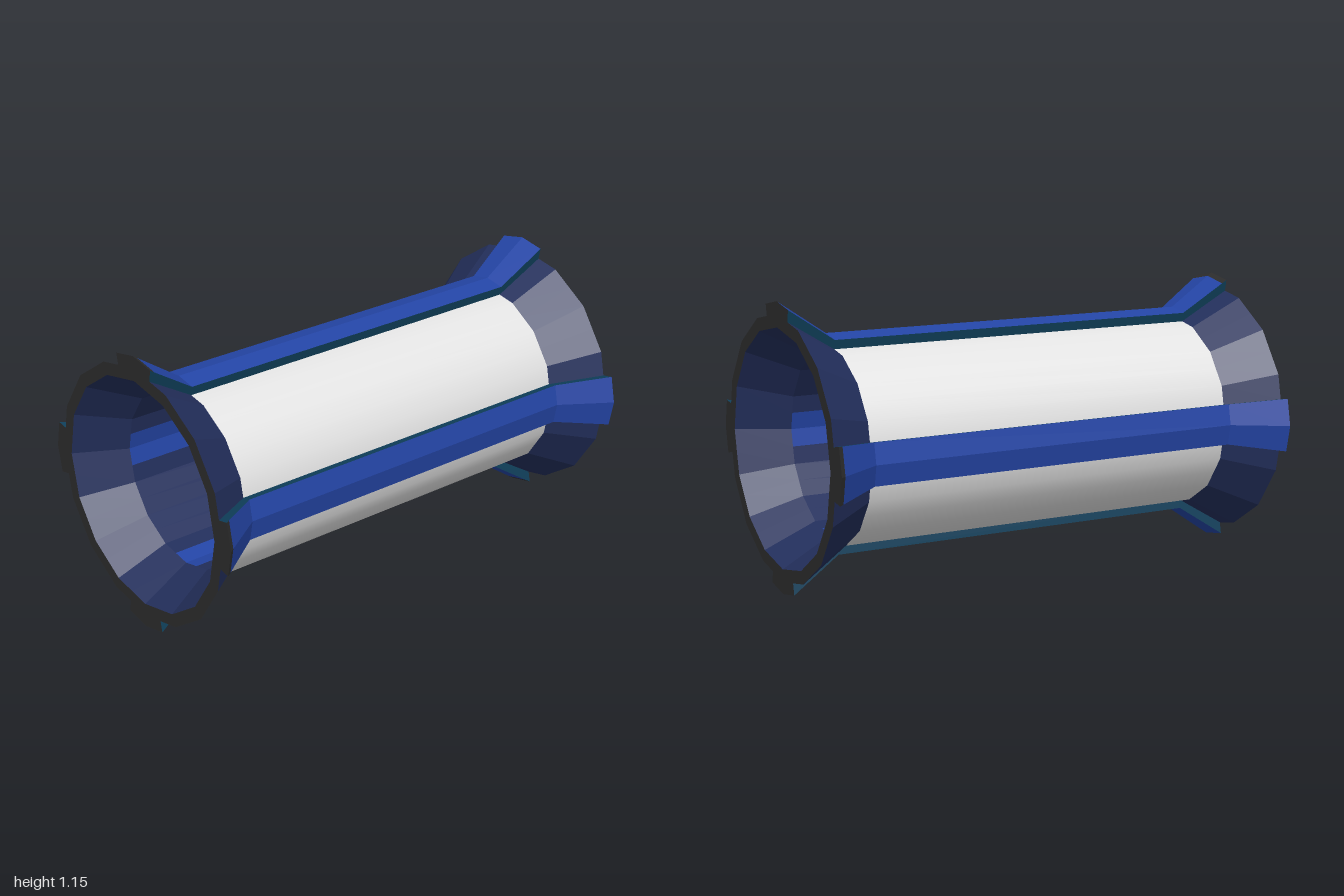
import * as THREE from 'three';

const HALF = 1, NECK = 0.8, CENTRE = 0.573;
// 16-sided sections: radius at the neck and at the end
const WALL = [0.4, 0.525], BORE = [0.362, 0.473], RIB = [0.438, 0.573];

// Point on a 16-gon, addressed in 32 half-steps (odd steps are edge midpoints)
function ring(x, r, k) {
  const a = k * Math.PI / 16;
  const d = k % 2 ? r * Math.cos(Math.PI / 16) : r;
  return [x, d * Math.cos(a), d * Math.sin(a)];
}

function quad(out, a, b, c, d) {
  out.push(...a, ...b, ...c, ...a, ...c, ...d);
}

// Sweep a profile of [x, radius] over half-steps k0..k1; rising x faces outward
function sweep(out, profile, k0, k1) {
  for (let i = 0; i + 1 < profile.length; i++) {
    const [x0, r0] = profile[i], [x1, r1] = profile[i + 1];
    for (let k = k0; k < k1; k++)
      quad(out, ring(x0, r0, k), ring(x0, r0, k + 1), ring(x1, r1, k + 1), ring(x1, r1, k));
  }
}

const along = ([n, e]) => [[-HALF, e], [-NECK, n], [NECK, n], [HALF, e]];

export function createModel() {
  const group = new THREE.Group();
  const mat = (name, color) => {
    const m = new THREE.MeshStandardMaterial({ color });
    m.name = name;
    return m;
  };
  const white = mat('white', 0xe2e2e2), blue = mat('blue', 0x2445a6);
  const navy = mat('navy', 0x232f5c), teal = mat('teal', 0x0f3f5a), dark = mat('charcoal', 0x2d2d2d);

  const add = (name, material, points, round = false) => {
    const g = new THREE.BufferGeometry();
    g.setAttribute('position', new THREE.Float32BufferAttribute(points, 3));
    g.computeVertexNormals();
    if (round) {
      const p = g.attributes.position, n = new THREE.Vector3();
      for (let i = 0; i < p.count; i++) {
        n.set(0, p.getY(i), p.getZ(i)).normalize();
        g.attributes.normal.setXYZ(i, 0, n.y, n.z);
      }
    }
    const mesh = new THREE.Mesh(g, material);
    mesh.name = name;
    mesh.position.y = CENTRE;
    group.add(mesh);
  };

  const panels = [], flares = [], bore = [], boreStrips = [];
  const ribTops = [], ribSides = [], rims = [], ribBands = [];
  const wall = along(WALL), inner = along(BORE).reverse(), top = along(RIB);

  for (let q = 0; q < 4; q++) {
    const c = q * 8, lo = c - 1, hi = c + 1, next = c + 7;

    // Panel and flared collars between two ribs
    sweep(panels, wall.slice(1, 3), hi, next);
    sweep(flares, wall.slice(0, 2), hi, next);
    sweep(flares, wall.slice(2, 4), hi, next);

    // Inside of the tube, with a strip under each rib
    sweep(bore, inner.slice(1, 3), hi, next);
    sweep(boreStrips, inner.slice(1, 3), lo, hi);
    sweep(bore, inner.slice(0, 2), lo, next);
    sweep(bore, inner.slice(2, 4), lo, next);

    // Rib top, with a narrow dark band at one end
    const s = q < 2 ? -1 : 1;
    const band = [s * 0.98, RIB[0] + (RIB[1] - RIB[0]) * 0.9];
    const blueTop = top.slice(), darkTop = s < 0 ? [top[0], band] : [band, top[3]];
    blueTop[s < 0 ? 0 : 3] = band;
    sweep(ribTops, blueTop, lo, hi);
    sweep(ribBands, darkTop, lo, hi);

    // Rib side walls
    for (let i = 0; i < 3; i++) {
      const corners = k => [ring(...wall[i], k), ring(...wall[i + 1], k),
        ring(...top[i + 1], k), ring(...top[i], k)];
      quad(ribSides, ...corners(hi));
      quad(ribSides, ...corners(lo).reverse());
    }

    // End faces
    for (const [k0, k1, r] of [[lo, hi, RIB[1]], [hi, next, WALL[1]]]) {
      sweep(rims, [[HALF, r], [HALF, BORE[1]]], k0, k1);
      sweep(rims, [[-HALF, BORE[1]], [-HALF, r]], k0, k1);
    }
  }

  add('tubePanels', white, panels, true);
  add('flaredCollars', navy, flares);
  add('innerWall', navy, bore);
  add('innerStrips', blue, boreStrips);
  add('ribTops', blue, ribTops);
  add('ribSides', teal, ribSides);
  add('ribEndBands', dark, ribBands);
  add('endRims', dark, rims);
  return group;
}
